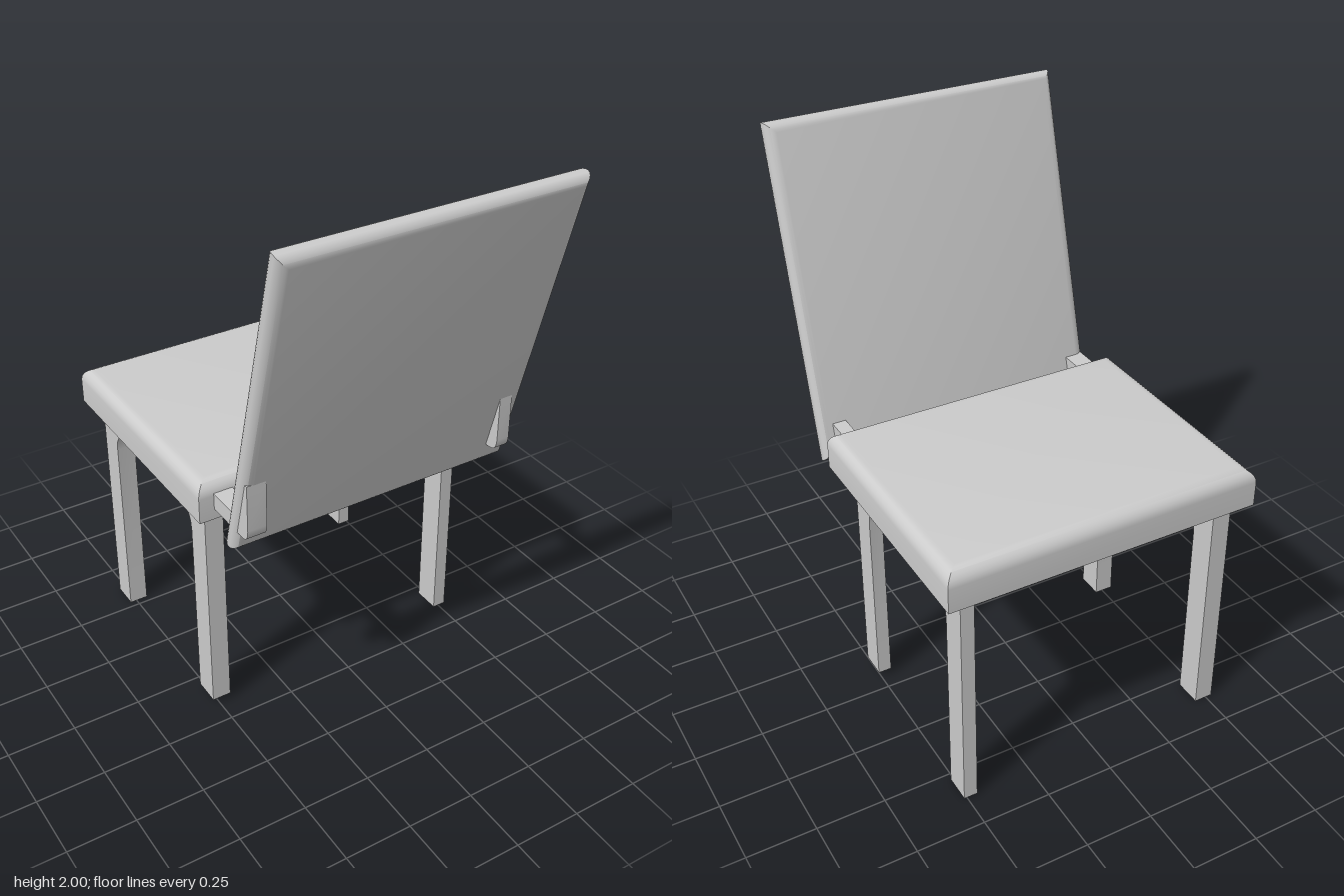
import * as THREE from 'three';
import { toCreasedNormals } from 'three/addons/utils/BufferGeometryUtils.js';

const material = new THREE.MeshStandardMaterial({ color: 0xcccccc, side: THREE.DoubleSide });

// Rectangular cushion with mitred corners; profile is a list of [inset, y] from bottom to top
function slab(width, depth, profile) {
  const rings = profile.map(([inset, y]) =>
    [[-1, 1], [1, 1], [1, -1], [-1, -1]].map(([sx, sz]) =>
      [sx * (width / 2 - inset), y, sz * (depth / 2 - inset)]));
  const pos = [];
  const quad = (a, b, c, d) => pos.push(...a, ...b, ...c, ...a, ...c, ...d);
  for (let i = 0; i < rings.length - 1; i++) {
    for (let k = 0; k < 4; k++) {
      const n = (k + 1) % 4;
      quad(rings[i][k], rings[i][n], rings[i + 1][n], rings[i + 1][k]);
    }
  }
  quad(...rings[rings.length - 1]);
  quad(...[...rings[0]].reverse());
  const geo = new THREE.BufferGeometry();
  geo.setAttribute('position', new THREE.Float32BufferAttribute(pos, 3));
  return toCreasedNormals(geo, 0.6);
}

// Quarter or half round edge as [inset, y] points
function roundEdge(r, y, from, to, steps) {
  return Array.from({ length: steps + 1 }, (_, i) => {
    const a = from + ((to - from) * i) / steps;
    return [r * (1 - Math.cos(a)), y + r * Math.sin(a)];
  });
}

// Side profile drawn in (z, y), extruded across x from x0 to x1
function sideExtrude(shape, x0, x1) {
  const geo = new THREE.ExtrudeGeometry(shape, { depth: x1 - x0, bevelEnabled: false, curveSegments: 4 });
  geo.rotateY(-Math.PI / 2);
  geo.translate(x1, 0, 0);
  return toCreasedNormals(geo, 0.5);
}

// Drops the end faces under the feet so the legs are open tubes
function openFeet(geo) {
  const p = geo.attributes.position, n = geo.attributes.normal;
  const pos = [], nor = [];
  for (let i = 0; i < p.count; i += 3) {
    if (n.getY(i) < -0.9 && p.getY(i) < 0.1) continue;
    for (let j = i; j < i + 3; j++) {
      pos.push(p.getX(j), p.getY(j), p.getZ(j));
      nor.push(n.getX(j), n.getY(j), n.getZ(j));
    }
  }
  const out = new THREE.BufferGeometry();
  out.setAttribute('position', new THREE.Float32BufferAttribute(pos, 3));
  out.setAttribute('normal', new THREE.Float32BufferAttribute(nor, 3));
  return out;
}

// Arch made of two legs and the rail joining them
function archShape() {
  const s = new THREE.Shape();
  s.moveTo(-0.625, 0);
  s.lineTo(-0.525, 0);
  s.lineTo(-0.525, 0.725);
  s.quadraticCurveTo(-0.525, 0.81, -0.445, 0.81);
  s.lineTo(-0.02, 0.81);
  s.quadraticCurveTo(0.06, 0.81, 0.06, 0.725);
  s.lineTo(0.06, 0.025);
  s.lineTo(0.16, 0.025);
  s.lineTo(0.16, 0.88);
  s.lineTo(-0.625, 0.88);
  s.closePath();
  return s;
}

// Arm from the seat through the backrest, with an upright behind it
function bracketShape() {
  const s = new THREE.Shape();
  s.moveTo(0.2, 0.92);
  s.lineTo(0.415, 0.92);
  s.quadraticCurveTo(0.455, 0.92, 0.455, 0.965);
  s.lineTo(0.455, 1.135);
  s.lineTo(0.425, 1.135);
  s.lineTo(0.38, 0.98);
  s.lineTo(0.2, 0.98);
  s.closePath();
  return s;
}

export function createModel() {
  const group = new THREE.Group();
  const add = (name, geo) => {
    const mesh = new THREE.Mesh(geo, material);
    mesh.name = name;
    group.add(mesh);
    return mesh;
  };

  // Seat: square lower edge, rounded upper edge
  const seat = add('seat', slab(1.155, 0.91, [[0, 0.88], ...roundEdge(0.05, 0.972, 0, Math.PI / 2, 6)]));
  seat.position.set(-0.0025, 0, -0.22);

  // Backrest: fully rounded rim, leaning backward
  const back = add('backrest', slab(1.095, 1.2, roundEdge(0.037, 0, -Math.PI / 2, Math.PI / 2, 12)));
  back.rotation.x = -(Math.PI / 2 - 0.2627);
  back.position.set(0.0125, 1.42, 0.494);

  // Leg frames and brackets on each side
  for (const [side, x0, x1] of [['right', -0.525, -0.455], ['left', 0.46, 0.51]]) {
    add(side + 'LegFrame', openFeet(sideExtrude(archShape(), x0, x1)));
    add(side + 'BackBracket', sideExtrude(bracketShape(), x0, x1));
  }
  return group;
}
